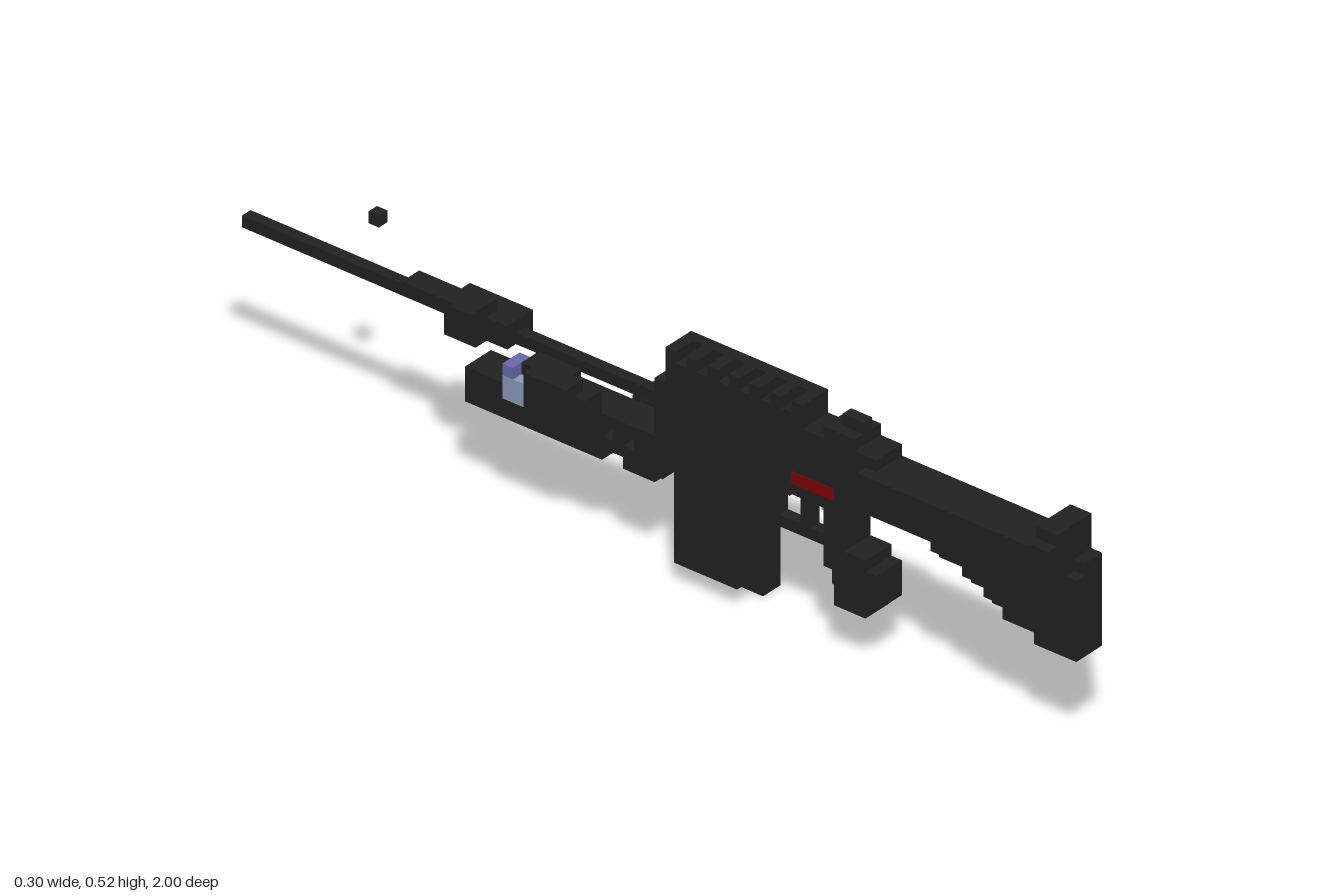
import * as THREE from 'three';

const U = 0.025; // one grid cell
const flat = (name, color) => {
  const m = new THREE.MeshStandardMaterial({ color });
  m.name = name;
  return m;
};

export function createModel() {
  const root = new THREE.Group();
  root.name = 'blockRifle';
  const dark = flat('gunmetal', 0x222222);
  const red = flat('darkRed', 0x7f0000);
  const glass = flat('paleBlueGlass', 0x8c9cba);
  const violet = flat('violetGlass', 0x6a6ab0);

  // Each box: [x0, x1, y0, y1, z0, z1] in grid cells
  const part = (name, boxes, material = dark) => {
    const group = new THREE.Group();
    group.name = name;
    for (const [x0, x1, y0, y1, z0, z1] of boxes) {
      const mesh = new THREE.Mesh(
        new THREE.BoxGeometry((x1 - x0) * U, (y1 - y0) * U, (z1 - z0) * U), material);
      mesh.name = name + 'Block';
      mesh.position.set((x0 + x1) / 2 * U, (y0 + y1) / 2 * U, (z0 + z1) / 2 * U);
      group.add(mesh);
    }
    root.add(group);
  };

  // Stock with a stepped underside: [z0, z1, bottom]
  const steps = [[20, 24, 14], [24, 27, 14], [27, 30, 13], [30, 32, 12], [32, 33, 11], [33, 36, 10], [36, 37, 9]];
  part('stock', steps.map(([a, b, y]) => [-3, 0, y, 18, a, b]));
  part('stockSidePanel', steps.map(([a, b, y]) => [-4, -3, Math.max(y + 1, 12), 18, a, b]));
  part('buttPlate', [[-3, 0, 9, 16, 37, 40], [-2, 0, 16, 17, 37, 40]]);
  part('buttCap', [[-5, 0, 17, 19, 37, 39], [-4, 0, 16, 20, 37, 39]]);

  // Receiver and side bulge
  part('receiver', [
    [-3, 0, 14, 18, 0, 21], [-3, 0, 13, 14, 0, 18], [-3, 0, 18, 19, 1, 21],
  ]);
  part('sideBulge', [[0, 1, 15, 17, 0, 24]]);
  part('rearSight', [[-3, 0, 19, 20, 16, 19], [-2, -1, 20, 21, 17, 19]]);

  // Top rail: one solid strip beside a row of teeth
  const teeth = [];
  for (let z = 1; z < 14; z += 2) teeth.push([-3, -1, 20, 21, z, z + 1]);
  part('topRail', [[-3, 0, 19, 20, 1, 14], [-1, 0, 20, 21, 1, 14], ...teeth]);

  // Pistol grip, trigger and guard
  part('pistolGrip', [
    [-3, 0, 9, 13, 16, 18], [-3, 0, 8, 10, 16, 20], [-3, 0, 6, 9, 17, 21],
    [-2, -1, 6, 9, 16, 21], [-3, 0, 5, 6, 17, 20],
  ]);
  part('triggerGuard', [[-2, -1, 9, 10, 11, 16], [-2, -1, 10, 12, 10, 11], [-2, -1, 12, 13, 8, 12]]);
  part('triggerLever', [[-2, -1, 10, 13, 13, 14]]);
  part('triggerGlint', [[-2, -1, 12, 13, 15, 16]], glass);
  part('selectorMark', [[-3.1, 0.1, 14, 15, 13, 17]], red);

  // Twin magazines
  part('innerMagazine', [[-2, 0, 2, 14, 1, 7]]);
  part('outerMagazine', [[1, 3, 0, 14, 1, 7], [0, 1, 13, 14, 1, 7]]);
  part('magazineCatch', [[-3, 0, 10, 13, 8, 9]]);

  // Handguard with open lattice near the receiver
  part('handguard', [
    [-3, 0, 9, 12, -18, -5], [-3, 0, 12, 13, -14, 0], [-3, 0, 9, 12, -2, 0],
    [-3, 0, 10, 11, -5, -2], [-3, 0, 10, 12, -4, -3], [-3, 0, 9, 10, -3, -2],
  ]);

  // Barrel and gas block
  part('barrel', [[-2, -1, 15, 16, -40, 0]]);
  part('gasBlock', [
    [-3, -1, 16, 17, -24, -14], [-3, 0, 15, 17, -20, -14], [-3, 0, 14, 15, -20, -17],
  ]);
  part('frontSight', [[-2, -1, 20, 21, -28, -27]]);
  part('chargingHandle', [[-6, -4, 18, 19, -17, -15], [-5, -3, 18, 19, -16, -15], [-5, -4, 17, 18, -16, -15]]);

  // Side lamp
  part('lampBody', [
    [-6, -4, 13, 16, -10, -6], [-5, -3, 13, 16, -11, -7], [-5, -3, 13, 15, -6, -5],
  ]);
  part('lampLens', [[-6, -4, 13, 15, -12, -10]], glass);
  part('lampRim', [[-6, -4, 15, 16, -12, -11]], violet);
  part('lampSideGlint', [[-3, -2.9, 13, 14, -11, -10]], violet);
  part('lampButton', [[-3, -2.9, 13, 14, -9, -8]], red);

  // Offset foregrip
  part('foregrip', [[4, 6, 4, 9, -7, -5], [4, 5, 9, 10, -7, -5], [3, 6, 10, 11, -7, -4]]);

  return root;
}
